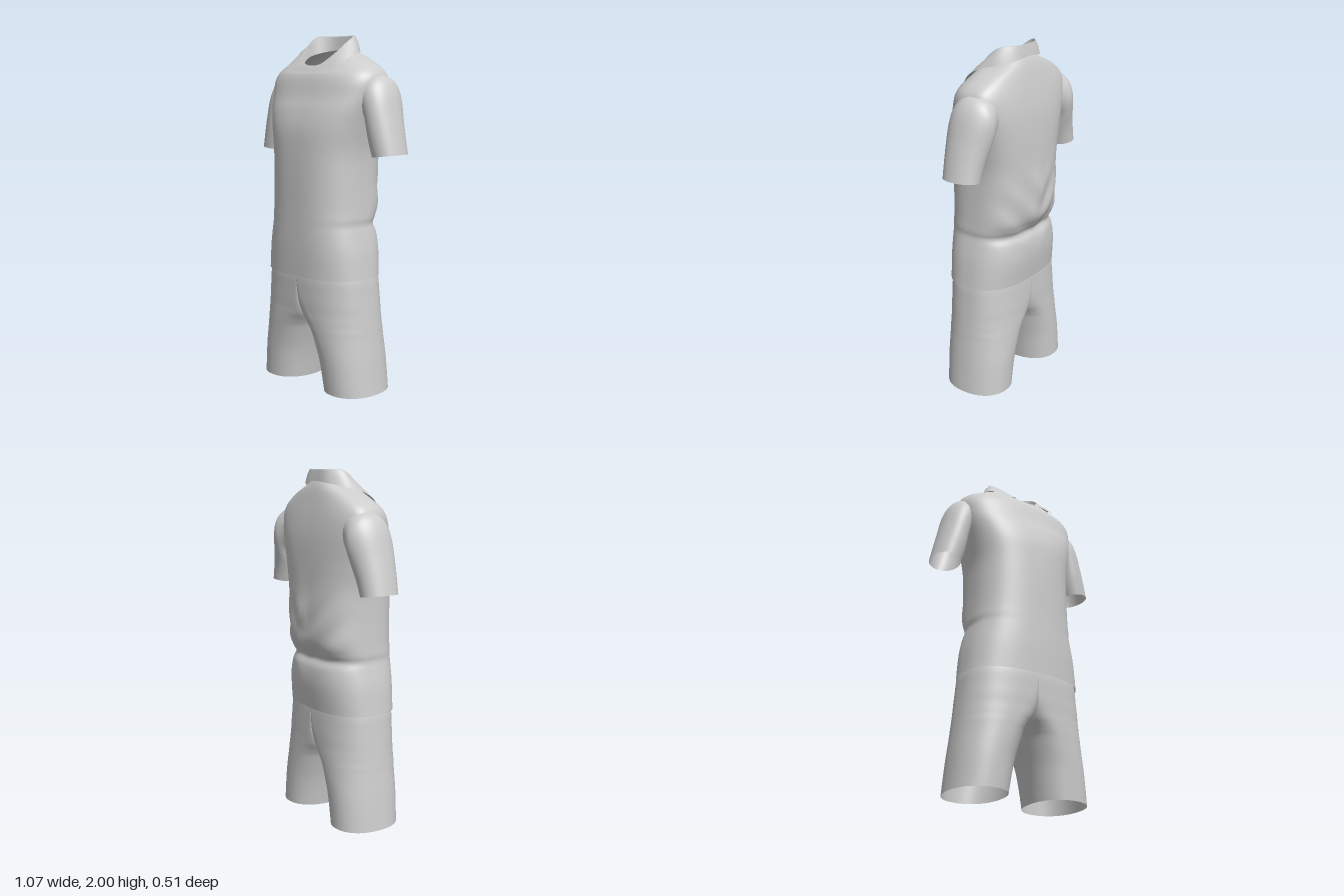
import * as THREE from 'three';

// Catmull-Rom through rows of numbers, giving a finer list of rows
function refine(rows, steps) {
  const out = [];
  const at = (i) => rows[Math.min(Math.max(i, 0), rows.length - 1)];
  for (let i = 0; i < rows.length - 1; i++) {
    for (let s = 0; s < steps; s++) {
      const t = s / steps;
      out.push(rows[i].map((b, j) => {
        const a = at(i - 1)[j], c = rows[i + 1][j], d = at(i + 2)[j];
        return b + 0.5 * t * (c - a + t * (2 * a - 5 * b + 4 * c - d + t * (3 * (b - c) + d - a)));
      }));
    }
  }
  out.push(rows[rows.length - 1]);
  return out;
}

// Skin a list of rings, each an array of [x, y, z]
function loft(rings, closed) {
  const n = rings[0].length, index = [];
  for (let r = 0; r < rings.length - 1; r++) {
    for (let i = 0; i < (closed ? n : n - 1); i++) {
      const j = (i + 1) % n, a = r * n + i, b = r * n + j;
      index.push(a, a + n, b, b, a + n, b + n);
    }
  }
  const g = new THREE.BufferGeometry();
  g.setAttribute('position', new THREE.Float32BufferAttribute(rings.flat(2), 3));
  g.setIndex(index);
  g.computeVertexNormals();
  return g;
}

const SEG = 96;
const pow = (v, n) => Math.sign(v) * Math.pow(Math.abs(v), 2 / n);
const bell = (v, w) => Math.exp(-((v / w) ** 2));
const around = (fn) => Array.from({ length: SEG }, (_, i) => {
  const a = (i / SEG) * Math.PI * 2;
  const c = Math.cos(a), s = Math.sin(a);
  return fn(Math.abs(c) < 1e-9 ? 0 : c, Math.abs(s) < 1e-9 ? 0 : s);
});

function torsoGeometry() {
  // side y, front y, back y, half width, front z, back z, z of widest point, squareness
  const flat = (y, ...rest) => [y, y, y, ...rest];
  const rows = [
    flat(0.655, 0.353, 0.248, -0.198, 0.02, 2.6), flat(0.8, 0.336, 0.253, -0.215, 0.02, 2.6),
    flat(0.9, 0.316, 0.254, -0.21, 0.02, 2.6), flat(0.95, 0.305, 0.254, -0.188, 0.02, 2.6),
    flat(0.99, 0.307, 0.254, -0.206, 0.01, 2.6), flat(1.06, 0.304, 0.254, -0.234, 0, 2.6),
    flat(1.2, 0.3, 0.255, -0.24, 0, 2.6), flat(1.35, 0.302, 0.253, -0.236, -0.01, 2.7),
    flat(1.48, 0.325, 0.245, -0.232, -0.02, 2.8), flat(1.58, 0.35, 0.221, -0.226, -0.03, 2.9),
    flat(1.66, 0.372, 0.19, -0.217, -0.045, 2.9), flat(1.74, 0.383, 0.166, -0.202, -0.055, 2.8),
    [1.797, 1.78, 1.81, 0.362, 0.15, -0.185, -0.058, 2.6],
    [1.845, 1.8, 1.88, 0.295, 0.135, -0.165, -0.05, 2.4],
    [1.888, 1.82, 1.92, 0.2, 0.12, -0.148, -0.03, 2.3],
    [1.91, 1.83, 1.94, 0.15, 0.11, -0.135, -0.02, 2.3],
  ];
  const rings = refine(rows, 5).map(([ys, yf, yb, w, f, b, zc, n]) => around((c, s) => {
    const x = w * pow(c, n);
    const y = ys + ((s > 0 ? yf : yb) - ys) * s * s;
    let z = zc + (s > 0 ? f - zc : zc - b) * pow(s, n);
    // soft folds gathering at the back of the waist
    const back = Math.max(0, -s), low = bell(y - 1.1, 0.17);
    z -= back * 0.014 * bell(x - 0.02, 0.05) * bell(y - 1.2, 0.16);
    z += back * low * 0.007 * Math.sin(y * 30 - Math.abs(x) * 32);
    return [x, y, z];
  }));
  return loft(rings, true);
}

function sleeveGeometry(side) {
  // outer x, y, inner x, y, centre z, half depth
  const rows = [
    [0.25, 1.8, 0.25, 1.57, -0.055, 0.1], [0.33, 1.79, 0.305, 1.535, -0.058, 0.122],
    [0.402, 1.762, 0.328, 1.505, -0.06, 0.134], [0.45, 1.69, 0.337, 1.455, -0.054, 0.13],
    [0.487, 1.56, 0.346, 1.41, -0.046, 0.12], [0.515, 1.45, 0.356, 1.37, -0.043, 0.112],
    [0.537, 1.355, 0.367, 1.335, -0.043, 0.107],
  ];
  const rings = refine(rows, 5).map(([ox, oy, ix, iy, zc, rz]) => around((c, s) => [
    side * ((ox + ix) / 2 + (ox - ix) / 2 * pow(c, 2.1)),
    (oy + iy) / 2 + (oy - iy) / 2 * pow(c, 2.1),
    zc + rz * pow(s, 2.1),
  ]));
  return loft(rings, true);
}

function collarGeometry() {
  // stations from the nape to the front: inner foot, folded top, outer edge
  const half = [
    [0, 1.92, -0.125, 0, 2.0, -0.138, 0, 1.935, -0.151],
    [0.085, 1.915, -0.115, 0.09, 2.0, -0.128, 0.11, 1.925, -0.143],
    [0.135, 1.9, -0.065, 0.148, 1.995, -0.07, 0.188, 1.904, -0.078],
    [0.138, 1.88, 0, 0.148, 1.95, 0, 0.212, 1.883, 0.01],
    [0.108, 1.85, 0.065, 0.122, 1.89, 0.065, 0.205, 1.84, 0.096],
    [0.066, 1.822, 0.1, 0.07, 1.835, 0.116, 0.176, 1.785, 0.152],
  ];
  const mirrored = half.slice(1).reverse().map((r) => r.map((v, i) => (i % 3 ? v : -v)));
  const rings = refine([...mirrored, ...half], 5).map((r) => {
    const foot = r.slice(0, 3), top = r.slice(3, 6), edge = r.slice(6);
    const mix = (p, q, t) => p.map((v, i) => v + (q[i] - v) * t);
    const puff = (p) => [p[0] * 1.03, p[1] + 0.004, p[2]];
    return [foot, mix(foot, top, 0.5), mix(foot, top, 0.93), top,
      mix(top, edge, 0.08), puff(mix(top, edge, 0.5)), edge];
  });
  return loft(rings, false);
}

function legGeometry(side) {
  // y, centre x, inner x, outer x, front z, back z, depth kept at the middle seam, squareness
  const rows = [
    [0.7, 0, 0, 0.337, 0.236, -0.186, 1, 2.6], [0.64, 0.01, 0, 0.35, 0.24, -0.19, 0.995, 2.6],
    [0.57, 0.035, 0, 0.357, 0.237, -0.191, 0.97, 2.55], [0.51, 0.065, 0, 0.363, 0.234, -0.191, 0.92, 2.5],
    [0.46, 0.095, 0, 0.368, 0.23, -0.19, 0.82, 2.4], [0.42, 0.118, 0, 0.372, 0.228, -0.19, 0.63, 2.35],
    [0.39, 0.136, 0.001, 0.375, 0.226, -0.19, 0.36, 2.3], [0.36, 0.152, 0.009, 0.378, 0.224, -0.19, 0.13, 2.3],
    [0.32, 0.172, 0.02, 0.382, 0.221, -0.19, 0, 2.25],
    [0.2, 0.22, 0.055, 0.396, 0.213, -0.19, 0, 2.2], [0.1, 0.24, 0.077, 0.406, 0.207, -0.189, 0, 2.2],
    [0, 0.253, 0.094, 0.416, 0.201, -0.188, 0, 2.2],
  ];
  const rings = refine(rows, 4).map(([y, cx, xi, xo, f, b, seam, n]) => around((c, s) => {
    const k = c < 0 ? Math.min(Math.max(seam, 0), 1) : 0;
    const inner = Math.max(xi, 0);
    const x = cx + (c > 0 ? xo - cx : cx - inner) * pow(c, n);
    const depth = Math.sign(s) * k + (1 - k) * pow(s, n);
    const zc = 0.01;
    return [side * Math.max(x, 0), y, zc + (s > 0 ? f - zc : zc - b) * depth];
  }));
  return loft(rings, true);
}

export function createModel() {
  const group = new THREE.Group();
  group.name = 'shirtAndShorts';
  const cloth = new THREE.MeshStandardMaterial({ color: 0xcccccc, side: THREE.DoubleSide });
  cloth.name = 'grey cloth';
  const add = (name, geometry) => {
    const mesh = new THREE.Mesh(geometry, cloth);
    mesh.name = name;
    group.add(mesh);
  };
  add('shirtBody', torsoGeometry());
  add('collar', collarGeometry());
  for (const [label, side] of [['left', 1], ['right', -1]]) {
    add(label + 'Sleeve', sleeveGeometry(side));
    add(label + 'ShortsLeg', legGeometry(side));
  }
  return group;
}
